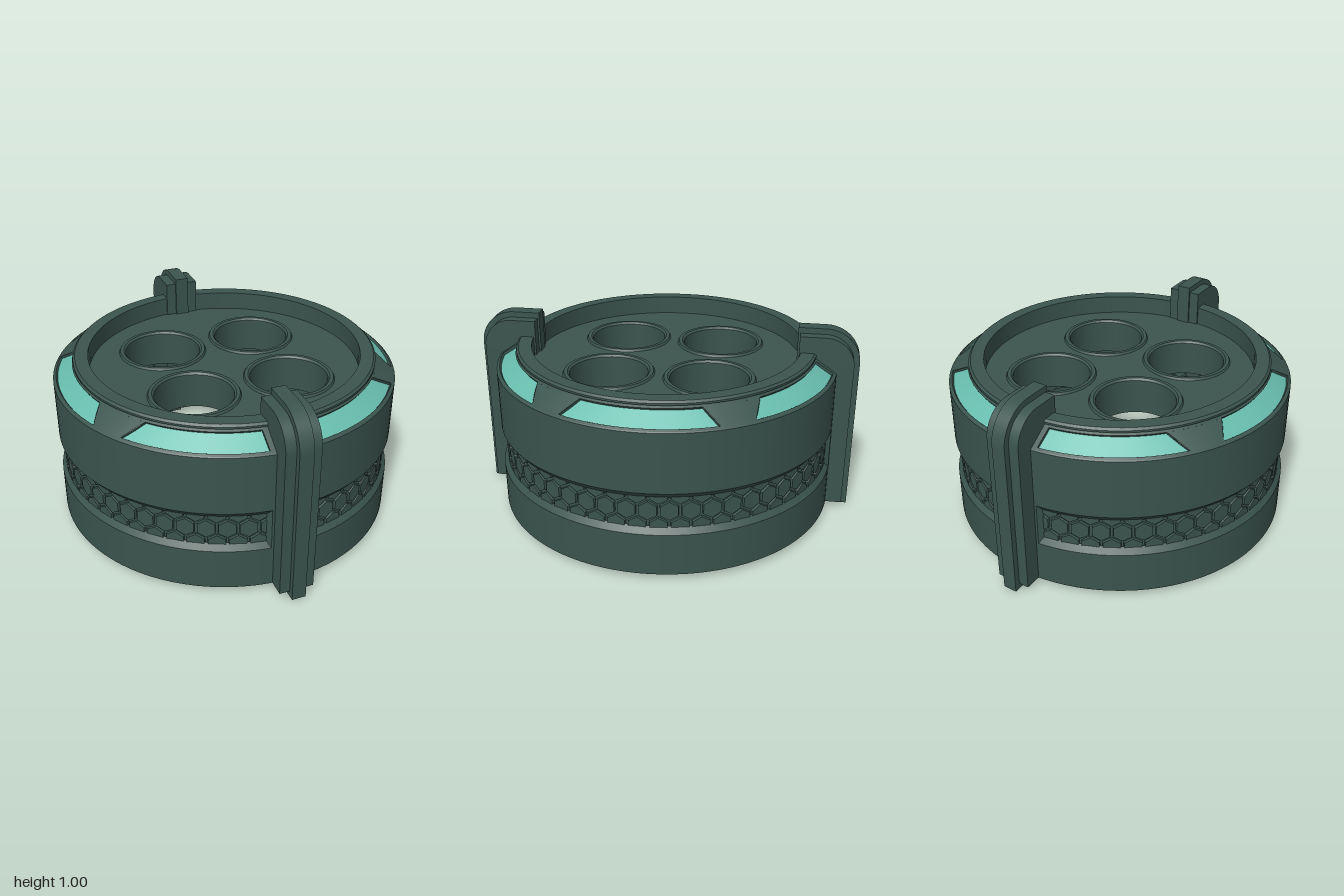
import * as THREE from 'three';
import { mergeGeometries } from 'three/addons/utils/BufferGeometryUtils.js';

const bodyMat = new THREE.MeshStandardMaterial({ color: 0x3b544e, side: THREE.DoubleSide });
bodyMat.name = 'dark green';
const panelMat = new THREE.MeshStandardMaterial({ color: 0x68bdae, side: THREE.DoubleSide });
panelMat.name = 'teal';

const rad = THREE.MathUtils.degToRad;

function mesh(name, geometry, material = bodyMat) {
  const m = new THREE.Mesh(geometry, material);
  m.name = name;
  return m;
}

// Revolved profile whose corners stay sharp
function turned(points, segments = 96) {
  const parts = [];
  for (let i = 0; i < points.length - 1; i++) {
    parts.push(new THREE.LatheGeometry([points[i], points[i + 1]].map(p => new THREE.Vector2(...p)), segments));
  }
  return mergeGeometries(parts);
}

// Curved four-sided patch; each corner is [angle in degrees, radius, height]
function patch(a, b, c, d, steps = 16) {
  const g = new THREE.PlaneGeometry(1, 1, steps, 1);
  const pos = g.attributes.position;
  for (let i = 0; i < pos.count; i++) {
    const u = pos.getX(i) + 0.5, v = pos.getY(i) + 0.5;
    const [ang, r, y] = [0, 1, 2].map(k =>
      (a[k] * (1 - u) + b[k] * u) * (1 - v) + (d[k] * (1 - u) + c[k] * u) * v);
    pos.setXYZ(i, r * Math.cos(rad(ang)), y, -r * Math.sin(rad(ang)));
  }
  g.computeVertexNormals();
  return g;
}

// Point on the sloping shoulder, optionally sunk below it
const slope = (angle, t, sink = 0) => [angle, 0.885 - 0.11 * t - sink * 0.57, 0.785 + 0.077 * t - sink * 0.82];
const T0 = 0.1, T1 = 0.88;

// Side profile of a clip, with rounded outer shoulder
function clipGeometry(width, inner, outer, hook, bottom, top) {
  const s = new THREE.Shape();
  const r = 0.18 - (1 - outer);
  s.moveTo(inner, bottom);
  s.lineTo(outer, bottom);
  s.lineTo(outer, top - r);
  s.absarc(outer - r, top - r, r, 0, Math.PI / 2, false);
  s.lineTo(hook, top);
  s.lineTo(hook, 0.78);
  s.lineTo(inner, 0.78);
  s.closePath();
  const g = new THREE.ExtrudeGeometry(s, { depth: width, bevelEnabled: false, curveSegments: 12 });
  g.translate(0, 0, -width / 2);
  g.rotateY(-Math.PI / 2);
  return g;
}

export function createModel() {
  const group = new THREE.Group();

  // Thin outer wall with an open band for the grip
  group.add(mesh('lowerWall', turned([[0.89, 0.03], [0.89, 0.25], [0.865, 0.285]])));
  group.add(mesh('upperWall', turned([[0.865, 0.44], [0.89, 0.472], [0.89, 0.78], [0.885, 0.785]])));

  // Honeycomb grip
  group.add(mesh('gripBacking', turned([[0.855, 0.23], [0.855, 0.52]], 108)));
  const tiles = [];
  const count = 54;
  for (let row = -1; row <= 1; row++) {
    for (let i = 0; i < count; i++) {
      let tile = new THREE.CylinderGeometry(0.049, 0.052, 0.024, 6).toNonIndexed();
      tile.computeVertexNormals();
      tile.rotateX(Math.PI / 2);
      tile.translate(0, 0.367 + row * 0.087, 0.856);
      tile.rotateY(((i + (row ? 0.5 : 0)) / count) * Math.PI * 2);
      tiles.push(tile);
    }
  }
  group.add(mesh('honeycombGrip', mergeGeometries(tiles)));

  // Solid bosses that end the grip band beside each clip
  for (const c of [90, 270]) {
    const boss = [patch([c - 6.5, 0.89, 0.25], [c + 6.5, 0.89, 0.25], [c + 6.5, 0.89, 0.472], [c - 6.5, 0.89, 0.472])];
    for (const s of [-1, 1]) {
      const e = c + s * 6.5, f = c + s * 8;
      boss.push(patch([e, 0.89, 0.25], [f, 0.865, 0.285], [f, 0.865, 0.44], [e, 0.89, 0.472], 2));
    }
    group.add(mesh('gripBoss', mergeGeometries(boss)));
  }

  // Shoulder: strips, spacers and six sunken windows [low start, low end, high start, high end]
  const windows = [
    [-25, 25, -21, 21], [36.5, 82.5, 42, 81.5], [97.5, 143.5, 98.5, 138],
    [155, 205, 159, 201], [216.5, 262.5, 222, 261.5], [277.5, 323.5, 278.5, 318],
  ];
  const frame = [
    patch(slope(0, 0), slope(360, 0), slope(360, T0), slope(0, T0), 96),
    patch(slope(0, T1), slope(360, T1), slope(360, 1), slope(0, 1), 96),
  ];
  const D = 0.014;
  windows.forEach(([l0, l1, h0, h1], i) => {
    const next = windows[(i + 1) % 6], turn = i === 5 ? 360 : 0;
    frame.push(patch(slope(l1, T0), slope(next[0] + turn, T0), slope(next[2] + turn, T1), slope(h1, T1), 8));
    const rim = [[l0, T0], [l1, T0], [h1, T1], [h0, T1]];
    rim.forEach((p, k) => {
      const q = rim[(k + 1) % 4];
      frame.push(patch(slope(...p, D), slope(...q, D), slope(...q), slope(...p)));
    });
    group.add(mesh('windowPanel', patch(...rim.map(p => slope(...p, D))), panelMat));
  });
  group.add(mesh('shoulderFrame', mergeGeometries(frame)));

  // Top rim and recessed floor
  group.add(mesh('topRim', turned([
    [0.775, 0.862], [0.783, 0.864], [0.783, 0.874], [0.772, 0.884], [0.705, 0.884], [0.705, 0.765],
  ])));
  const disc = new THREE.Shape().absarc(0, 0, 0.706, 0, Math.PI * 2);
  const centres = [[-1, -1], [1, -1], [-1, 1], [1, 1]].map(([x, z]) => [x * 0.257, z * 0.257]);
  for (const [x, z] of centres) {
    disc.holes.push(new THREE.Path().absarc(x, z, 0.215, 0, Math.PI * 2, true));
  }
  const floor = new THREE.ExtrudeGeometry(disc, { depth: 0.02, bevelEnabled: false, curveSegments: 48 });
  floor.rotateX(-Math.PI / 2);
  floor.translate(0, 0.765, 0);
  group.add(mesh('floor', floor));

  // Four open sockets through the floor
  const socket = turned([
    [0.2, 0.6], [0.222, 0.6], [0.222, 0.77], [0.234, 0.785], [0.228, 0.797], [0.21, 0.797], [0.2, 0.787], [0.2, 0.6],
  ], 48);
  for (const [x, z] of centres) {
    const m = mesh('socket', socket);
    m.position.set(x, 0, z);
    group.add(m);
  }

  // Front and back clips, each a broad strap with a raised centre rib
  const strap = clipGeometry(0.178, 0.855, 0.97, 0.69, 0.03, 0.97);
  const rib = clipGeometry(0.072, 0.885, 1, 0.68, 0, 1);
  for (const [name, turn] of [['frontClip', Math.PI], ['backClip', 0]]) {
    const clip = new THREE.Group();
    clip.name = name;
    clip.add(mesh('strap', strap), mesh('rib', rib));
    // the clip profile runs along x before it is turned onto z
    const box = new THREE.Box3().setFromObject(clip);
    const facesFront = box.max.z > 0.5;
    clip.rotation.y = (turn === Math.PI) === facesFront ? 0 : Math.PI;
    group.add(clip);
  }
  return group;
}
